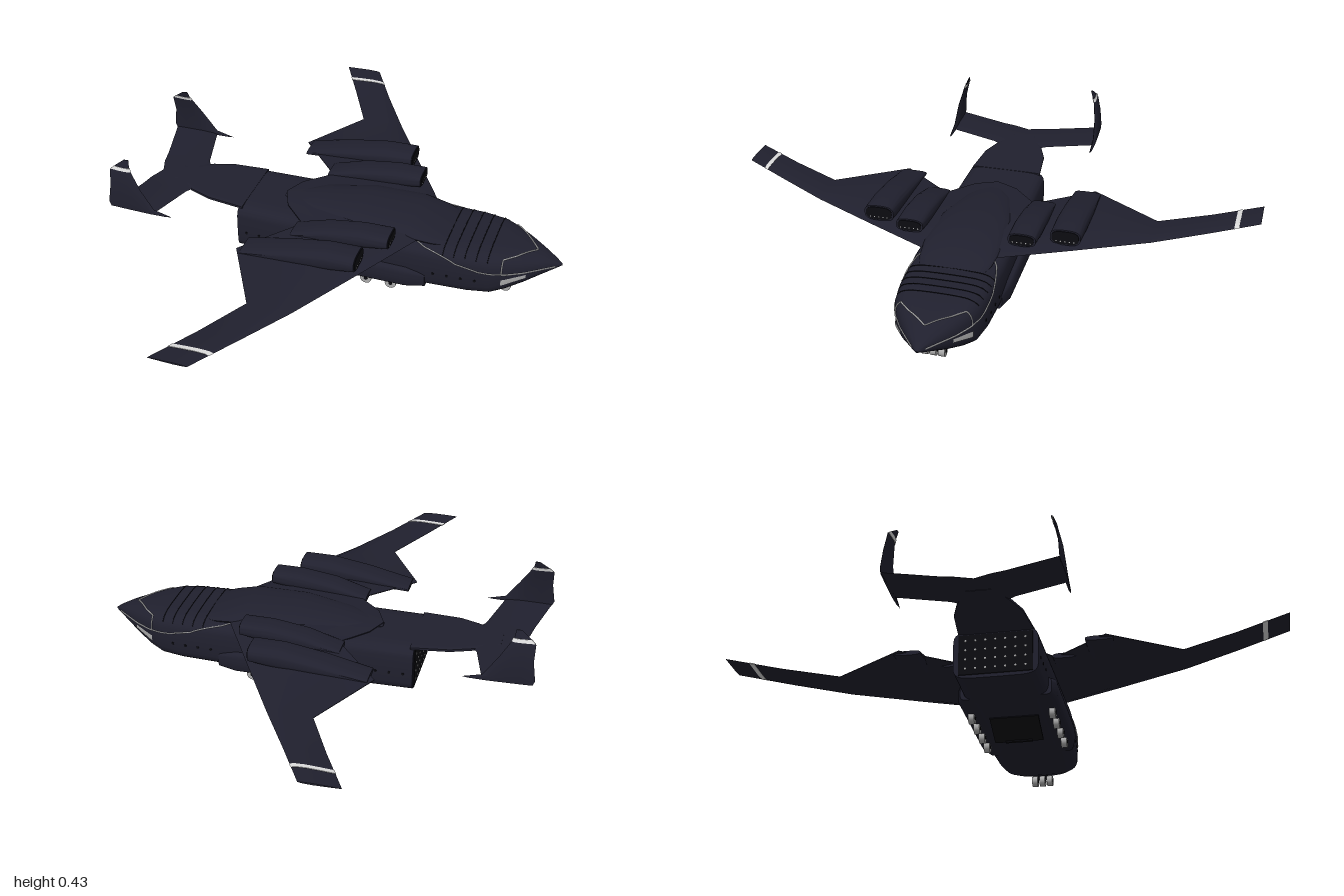
import * as THREE from 'three';
import { toCreasedNormals } from 'three/addons/utils/BufferGeometryUtils.js';

const material = (name, color) => {
  const m = new THREE.MeshStandardMaterial({ color });
  m.name = name;
  return m;
};

// Skin closed rings of [x, y, z] points and cap both ends
function loft(rings) {
  const n = rings[0].length, pos = rings.flat(2), idx = [];
  for (let i = 0; i < rings.length - 1; i++)
    for (let j = 0; j < n; j++) {
      const k = (j + 1) % n, a = i * n + j, b = i * n + k, c = a + n, d = b + n;
      idx.push(a, c, b, b, c, d);
    }
  for (const [start, flip] of [[0, false], [(rings.length - 1) * n, true]])
    for (let j = 1; j < n - 1; j++)
      idx.push(start, start + (flip ? j + 1 : j), start + (flip ? j : j + 1));
  // Turn the faces outward whichever way the rings run
  const v = (i) => new THREE.Vector3().fromArray(pos, i * 3);
  let volume = 0;
  for (let i = 0; i < idx.length; i += 3) volume += v(idx[i]).dot(v(idx[i + 1]).cross(v(idx[i + 2])));
  if (volume < 0) idx.reverse();
  const g = new THREE.BufferGeometry();
  g.setAttribute('position', new THREE.Float32BufferAttribute(pos, 3));
  g.setIndex(idx);
  return toCreasedNormals(g, 0.6);
}

// Row of a table at key t, straight between its neighbours
function rowAt(table, t) {
  let i = 0;
  while (i < table.length - 2 && t > table[i + 1][0]) i++;
  const a = table[i], b = table[i + 1], f = (t - a[0]) / (b[0] - a[0]);
  return a.map((v, k) => v + (b[k] - v) * f);
}

// Rounded-box cross-sections: [x, bottom, top, halfWidth, squareness, centreZ]
function bodyPoint([x, y0, y1, w, n, zc = 0], angle, grow = 0) {
  const p = (v) => Math.sign(v) * Math.abs(v) ** (2 / n);
  return [x, (y0 + y1) / 2 + ((y1 - y0) / 2 + grow) * p(Math.sin(angle)), zc + (w + grow) * p(Math.cos(angle))];
}
const bodyRing = (row) => Array.from({ length: 32 }, (_, j) => bodyPoint(row, (j / 32) * Math.PI * 2));
const body = (table) => loft(table.map(bodyRing));

// Airfoil sections: [span, leadingX, trailingX, offset, thickness]
const FOIL = [[0, 0], [0.1, 0.35], [0.35, 0.5], [0.7, 0.3], [1, 0.04], [1, -0.04], [0.7, -0.25], [0.35, -0.45], [0.1, -0.3]];
const foil = (table, upright = false, grow = 0) => loft(table.map(([s, x0, x1, off, t]) =>
  FOIL.map(([c, h]) => {
    const x = x0 + (x1 - x0) * c + grow * (0.5 - c), o = off + h * t + Math.sign(h) * grow * 0.5;
    return upright ? [x, s, o] : [x, o, s];
  })));

const FUSELAGE = [
  [-0.375, 0.055, 0.235, 0.15, 6], [-0.15, 0.055, 0.235, 0.155, 6], [0.3, 0.055, 0.236, 0.166, 5],
  [0.5, 0.055, 0.236, 0.16, 4.5], [0.58, 0.057, 0.234, 0.15, 4], [0.63, 0.07, 0.227, 0.13, 3.4],
  [0.69, 0.093, 0.214, 0.095, 2.8], [0.75, 0.123, 0.195, 0.052, 2.4], [0.79, 0.144, 0.177, 0.022, 2.1], [0.812, 0.157, 0.163, 0.003, 2],
];
const WING = [
  [0, 0.36, -0.235, 0.245, 0.045], [0.08, 0.34, -0.2, 0.244, 0.045], [0.17, 0.29, -0.11, 0.24, 0.042],
  [0.37, 0.173, -0.285, 0.228, 0.034], [0.63, 0.021, -0.14, 0.215, 0.02], [0.82, -0.09, -0.235, 0.219, 0.014], [1, -0.19, -0.33, 0.229, 0.007],
];
const FIN = [
  [0.242, -0.57, -0.812, 0.29, 0.012], [0.26, -0.64, -0.82, 0.29, 0.014], [0.33, -0.69, -0.81, 0.285, 0.012],
  [0.39, -0.728, -0.812, 0.272, 0.01], [0.41, -0.738, -0.79, 0.265, 0.008], [0.432, -0.742, -0.76, 0.257, 0.005],
];
const NACELLES = [
  [[-0.13, 0.225, 0.245, 0.045, 3, 0.205], [0, 0.23, 0.287, 0.05, 3, 0.205], [0.13, 0.24, 0.305, 0.052, 3, 0.205], [0.235, 0.256, 0.305, 0.05, 3, 0.205]],
  [[-0.265, 0.218, 0.235, 0.05, 3, 0.345], [-0.1, 0.22, 0.275, 0.055, 3, 0.345], [0.05, 0.225, 0.3, 0.056, 3, 0.345], [0.16, 0.24, 0.3, 0.055, 3, 0.345]],
];

export function createModel() {
  const root = new THREE.Group();
  const navy = material('dark navy hull', 0x20202e);
  const black = material('black recess', 0x0c0c11);
  const white = material('white trim', 0xdcdcdc);
  const grey = material('light grey', 0xacacac);
  grey.side = THREE.DoubleSide;

  const add = (parent, name, geometry, mat, x = 0, y = 0, z = 0) => {
    const m = new THREE.Mesh(geometry, mat);
    m.name = name;
    m.position.set(x, y, z);
    parent.add(m);
    return m;
  };
  // Thin line lying on the fuselage skin through [x, angle] points
  const skinLine = (parent, name, path, radius, mat) => {
    const pts = [];
    for (let i = 0; i < path.length - 1; i++)
      for (let k = 0; k < 8; k++) {
        const [a, b] = [path[i], path[i + 1]], f = k / 7;
        if (i && !k) continue;
        const x = a[0] + (b[0] - a[0]) * f;
        pts.push(new THREE.Vector3(...bodyPoint(rowAt(FUSELAGE, x), a[1] + (b[1] - a[1]) * f, 0.001)));
      }
    add(parent, name, new THREE.TubeGeometry(new THREE.CatmullRomCurve3(pts), pts.length * 2, radius, 5), mat);
  };

  // Fuselage, dorsal fairing and flat tail boom
  add(root, 'fuselage', body(FUSELAGE), navy);
  add(root, 'dorsalFairing', body([
    [-0.235, 0.232, 0.24, 0.015, 2], [-0.1, 0.22, 0.265, 0.09, 2], [0.08, 0.22, 0.284, 0.13, 2],
    [0.27, 0.215, 0.28, 0.14, 2], [0.36, 0.215, 0.256, 0.13, 2], [0.42, 0.215, 0.235, 0.11, 2],
  ]), navy);
  add(root, 'tailBoom', body([
    [-0.67, 0.228, 0.24, 0.05, 6], [-0.57, 0.226, 0.241, 0.095, 6], [-0.5, 0.225, 0.24, 0.12, 6], [-0.36, 0.222, 0.236, 0.135, 6],
  ]), navy);

  // Rear cargo wall with rows of lights
  add(root, 'rearCargoWall', new THREE.BoxGeometry(0.006, 0.15, 0.26), black, -0.376, 0.143, 0);
  const lamp = new THREE.CylinderGeometry(0.004, 0.004, 0.003, 8).rotateZ(Math.PI / 2);
  for (let r = 0; r < 4; r++)
    for (let c = 0; c < 7; c++) add(root, 'cargoWallLight', lamp, grey, -0.38, 0.09 + r * 0.035, (c - 3) * 0.035);

  // Panel ribs over the forward roof and the windscreen's upper frame
  for (const x of [0.41, 0.45, 0.49, 0.53, 0.57]) skinLine(root, 'roofRib', [[x, 0.5], [x, Math.PI - 0.5]], 0.0014, black);
  skinLine(root, 'windscreenUpperFrame', [[0.62, 0.75], [0.66, 1], [0.72, Math.PI / 2], [0.66, Math.PI - 1], [0.62, Math.PI - 0.75]], 0.0026, white);

  // Nose wheels and belly door
  const wheel = new THREE.CylinderGeometry(0.021, 0.021, 0.022, 20).rotateX(Math.PI / 2);
  const hub = new THREE.CylinderGeometry(0.007, 0.007, 0.026, 10).rotateX(Math.PI / 2);
  const addWheel = (parent, x, z) => {
    add(parent, 'wheel', wheel, grey, x, 0.044, z);
    add(parent, 'wheelHub', hub, black, x, 0.044, z);
  };
  for (const z of [-0.03, 0, 0.03]) addWheel(root, 0.62, z);
  add(root, 'noseGearStrut', new THREE.BoxGeometry(0.012, 0.04, 0.07), black, 0.62, 0.07, 0);
  add(root, 'bellyDoor', new THREE.BoxGeometry(0.125, 0.008, 0.18), black, 0.03, 0.03, 0).rotation.z = -0.4;
  add(root, 'bellyDoorLip', new THREE.BoxGeometry(0.012, 0.02, 0.1), black, 0.084, 0.01, 0);

  // Everything that comes in a left and right pair
  for (const side of [1, -1]) {
    const half = new THREE.Group();
    half.name = side > 0 ? 'leftHalf' : 'rightHalf';
    half.scale.z = side;
    root.add(half);

    // Cranked wing with white tip band
    add(half, 'wing', foil(WING), navy);
    add(half, 'wingTipBand', foil([0.908, 0.925].map((z) => rowAt(WING, z)), false, 0.003), white);

    // Tailplane and inward-leaning fin
    add(half, 'tailplane', foil([
      [0, -0.56, -0.74, 0.234, 0.014], [0.06, -0.565, -0.762, 0.234, 0.014],
      [0.11, -0.595, -0.77, 0.236, 0.013], [0.29, -0.64, -0.812, 0.246, 0.01],
    ]), navy);
    add(half, 'tailFin', foil(FIN, true), navy);
    add(half, 'tailFinBand', foil([0.393, 0.405].map((y) => rowAt(FIN, y)), true, 0.003), white);

    // Engines with dark intakes and small intake lights
    for (const rows of NACELLES) {
      add(half, 'engineNacelle', body(rows), navy);
      const [x, y0, y1, w, n, zc] = rows[rows.length - 1];
      const inset = [y0 + 0.005, y1 - 0.005, w - 0.006, n, zc];
      add(half, 'engineIntake', body([[x - 0.004, ...inset], [x + 0.003, ...inset]]), black);
      for (let i = -2; i <= 2; i++)
        add(half, 'intakeLight', lamp, grey, x + 0.003, y0 + 0.016, zc + i * 0.016).scale.setScalar(0.6);
    }

    // Landing gear sponson and main wheels
    add(half, 'gearSponson', body([
      [-0.19, 0.06, 0.125, 0.03, 4, 0.135], [-0.15, 0.054, 0.138, 0.045, 4, 0.135],
      [0.28, 0.054, 0.138, 0.047, 4, 0.135], [0.35, 0.06, 0.125, 0.03, 4, 0.135],
    ]), navy);
    for (const x of [-0.06, 0.035, 0.128, 0.222]) addWheel(half, x, 0.148);

    // White shoulder line, windscreen frame and grey side window
    skinLine(half, 'shoulderLine', [[0.28, 1.3], [0.34, 0.8], [0.46, 0.18], [0.54, 0.06], [0.62, 0.05]], 0.0022, white);
    skinLine(half, 'windscreenLowerFrame', [[0.62, 0.05], [0.7, 0.04], [0.79, 0.02]], 0.0026, white);
    skinLine(half, 'windscreenPost', [[0.62, 0.05], [0.62, 0.75]], 0.0022, white);
    const pane = new THREE.PlaneGeometry(1, 1, 6, 6), p = pane.attributes.position;
    for (let i = 0; i < p.count; i++) {
      const row = rowAt(FUSELAGE, 0.66 + p.getX(i) * 0.08);
      p.setXYZ(i, ...bodyPoint(row, -0.1 + p.getY(i) * 0.17, 0.003));
    }
    pane.computeVertexNormals();
    add(half, 'sideWindow', pane, grey);

    // Portholes along the hull
    const porthole = new THREE.CylinderGeometry(0.005, 0.005, 0.004, 8).rotateX(Math.PI / 2);
    for (const x of [-0.34, -0.29, -0.24, 0.38, 0.43, 0.48, 0.53])
      add(half, 'porthole', porthole, black, x, 0.13, rowAt(FUSELAGE, x)[3]);
  }
  return root;
}
